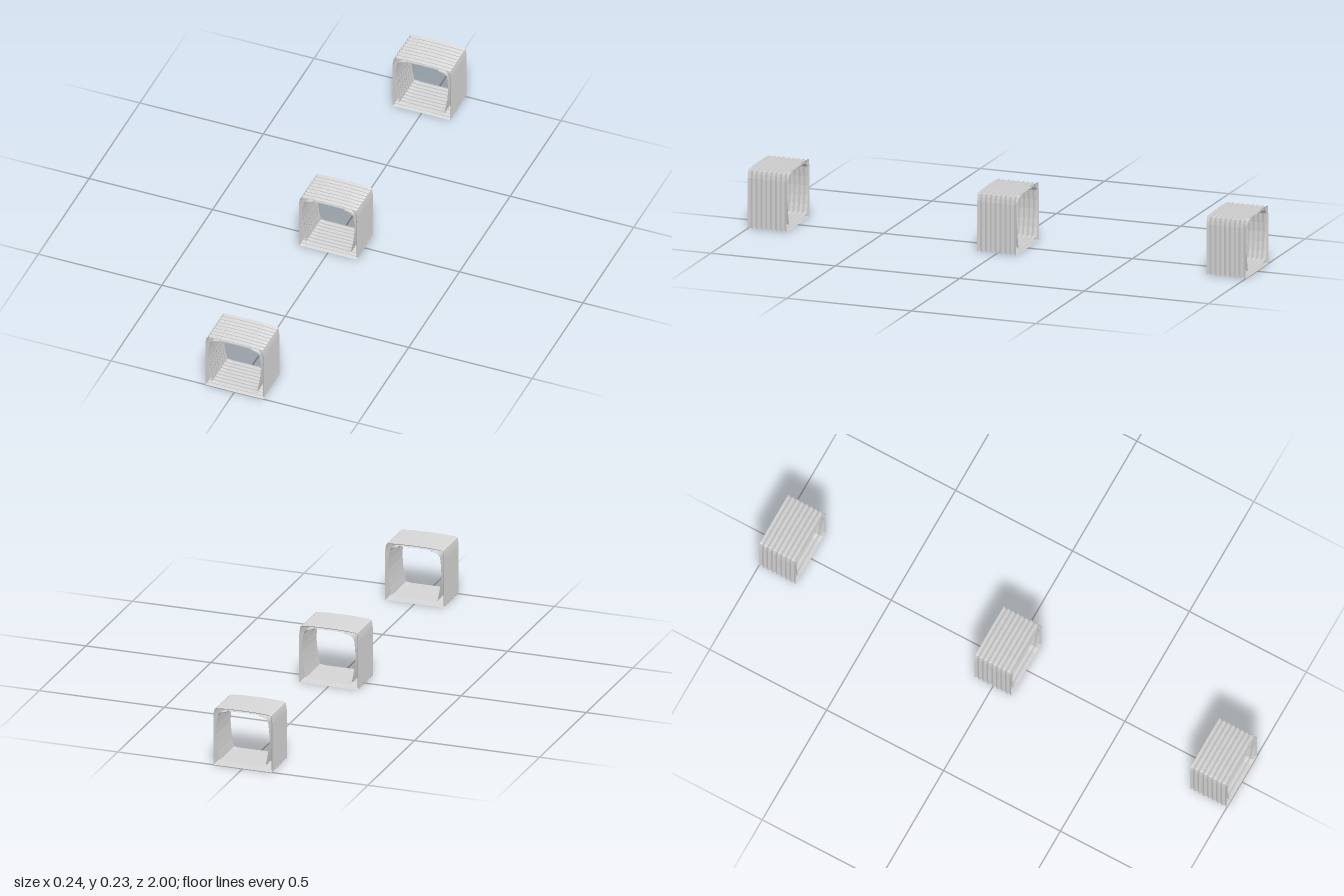
import * as THREE from 'three';

const LENGTH = 0.156, PLEATS = 8;
const material = new THREE.MeshStandardMaterial({ color: 0xcccccc, flatShading: true, side: THREE.DoubleSide });

// Right half of each section, bottom centre to top centre
const OUTER = [[0, 0], [0.118, 0], [0.118, 0.195], [0.116, 0.212], [0.113, 0.225], [0.107, 0.228], [0.06, 0.231], [0, 0.232]];
const INNER = [[0, 0.019], [0.07, 0.019], [0.092, 0.022], [0.099, 0.055], [0.104, 0.088], [0.107, 0.125], [0.106, 0.16],
  [0.101, 0.199], [0.097, 0.206], [0.09, 0.212], [0.078, 0.216], [0.066, 0.218], [0.062, 0.223], [0, 0.224]];

// Mirror a half section into a closed counter-clockwise loop
function closedLoop(half) {
  const left = half.slice(1, -1).reverse().map(([x, y]) => [-x, y]);
  return [...half, ...left].map(([x, y]) => new THREE.Vector2(x, y));
}

// Shrink a loop by a constant distance with mitred corners
function inset(loop, d) {
  const n = loop.length;
  const normal = (a, b) => new THREE.Vector2(a.y - b.y, b.x - a.x).normalize();
  return loop.map((p, i) => {
    const n1 = normal(loop[(i + n - 1) % n], p), n2 = normal(p, loop[(i + 1) % n]);
    const m = n1.clone().add(n2);
    return p.clone().addScaledVector(m, d / (1 + n1.dot(n2)));
  });
}

// Accordion sheet: the section alternates between crest and valley along z
function bellowsGeometry(half, depth) {
  const crest = closedLoop(half), valley = inset(crest, depth);
  const n = crest.length, rings = PLEATS * 2, positions = [], index = [];
  for (let r = 0; r <= rings; r++) {
    const z = (r / rings - 0.5) * LENGTH;
    for (const p of r % 2 ? valley : crest) positions.push(p.x, p.y, z);
  }
  for (let r = 0; r < rings; r++) {
    for (let i = 0; i < n; i++) {
      const j = (i + 1) % n;
      const a = r * n + i, b = r * n + j, c = a + n, d = b + n;
      index.push(a, b, d, a, d, c);
    }
  }
  const g = new THREE.BufferGeometry();
  g.setAttribute('position', new THREE.Float32BufferAttribute(positions, 3));
  g.setIndex(index);
  g.computeVertexNormals();
  return g;
}

export function createModel() {
  const model = new THREE.Group();
  model.name = 'gangwayBellows';
  const parts = { outerBellows: bellowsGeometry(OUTER, 0.006), innerBellows: bellowsGeometry(INNER, 0.004) };

  // Three identical gangways in a row
  ['rearGangway', 'middleGangway', 'frontGangway'].forEach((name, i) => {
    const gangway = new THREE.Group();
    gangway.name = name;
    for (const [part, geometry] of Object.entries(parts)) {
      const mesh = new THREE.Mesh(geometry, material);
      mesh.name = part;
      gangway.add(mesh);
    }
    gangway.position.z = (i - 1) * (1 - LENGTH / 2);
    model.add(gangway);
  });
  return model;
}
